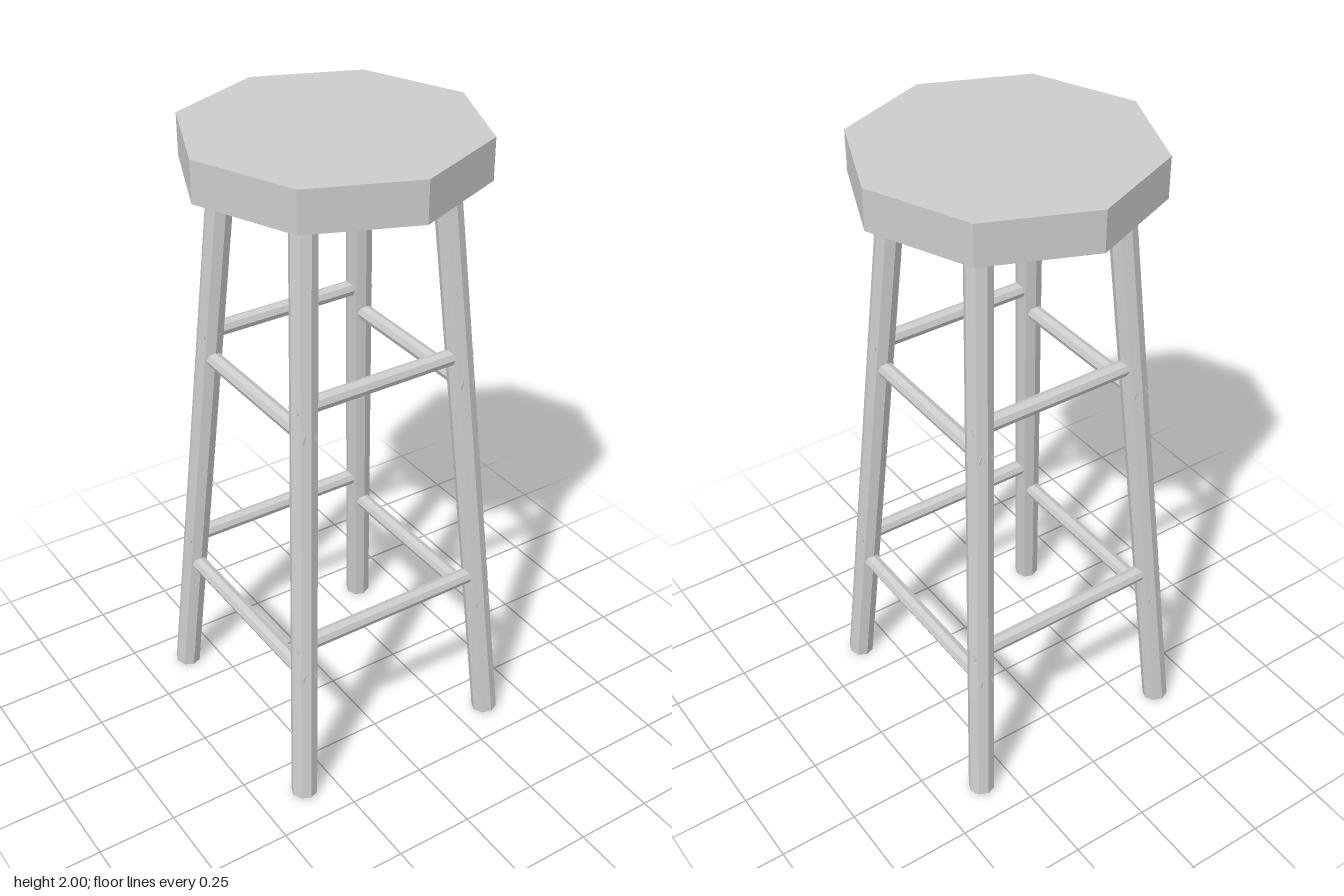
import * as THREE from 'three';

const material = new THREE.MeshStandardMaterial({ color: 0xcccccc, flatShading: true });
const UP = new THREE.Vector3(0, 1, 0);

// Leg centreline in the +x, +z corner, from floor to seat
const FOOT = new THREE.Vector3(0.355, 0.005, 0.377);
const HEAD = new THREE.Vector3(0.23, 1.885, 0.21);
const LEG_RADIUS = 0.041;
const RUNG_RADIUS = 0.025;
const RUNG_OVERLAP = 0.034; // how far rungs run past the leg centreline

// Eight-sided rod between two points
function rod(name, a, b, radius) {
  const dir = b.clone().sub(a);
  const mesh = new THREE.Mesh(new THREE.CylinderGeometry(radius, radius, dir.length(), 8), material);
  mesh.position.copy(a).add(b).multiplyScalar(0.5);
  mesh.quaternion.setFromUnitVectors(UP, dir.normalize());
  mesh.name = name;
  return mesh;
}

// Point on the leg centreline at a given height
function legAt(y) {
  return FOOT.clone().lerp(HEAD, (y - FOOT.y) / (HEAD.y - FOOT.y));
}

export function createModel() {
  const stool = new THREE.Group();
  stool.name = 'stool';

  // Octagonal seat with corners on the axes
  const seat = new THREE.Mesh(new THREE.CylinderGeometry(0.443, 0.443, 0.125, 8), material);
  seat.position.y = 1.9375;
  seat.name = 'seat';
  stool.add(seat);

  // Four splayed legs
  for (const [sx, side] of [[1, 'Left'], [-1, 'Right']]) {
    for (const [sz, end] of [[1, 'front'], [-1, 'back']]) {
      const corner = new THREE.Vector3(sx, 1, sz);
      stool.add(rod(`${end}${side}Leg`, FOOT.clone().multiply(corner), HEAD.clone().multiply(corner), LEG_RADIUS));
    }
  }

  // Front and back rungs, lower and upper
  for (const [y, level] of [[0.55, 'Lower'], [1.325, 'Upper']]) {
    const p = legAt(y);
    const x = p.x + RUNG_OVERLAP;
    for (const [s, end] of [[1, 'front'], [-1, 'back']]) {
      stool.add(rod(`${end}${level}Rung`, new THREE.Vector3(-x, y, s * p.z), new THREE.Vector3(x, y, s * p.z), RUNG_RADIUS));
    }
  }

  // Side rungs, set a little below the front and back ones
  for (const [y, level] of [[0.45, 'Lower'], [1.24, 'Upper']]) {
    const p = legAt(y);
    const z = p.z + RUNG_OVERLAP;
    for (const [s, side] of [[1, 'left'], [-1, 'right']]) {
      stool.add(rod(`${side}${level}Rung`, new THREE.Vector3(s * p.x, y, -z), new THREE.Vector3(s * p.x, y, z), RUNG_RADIUS));
    }
  }

  return stool;
}
